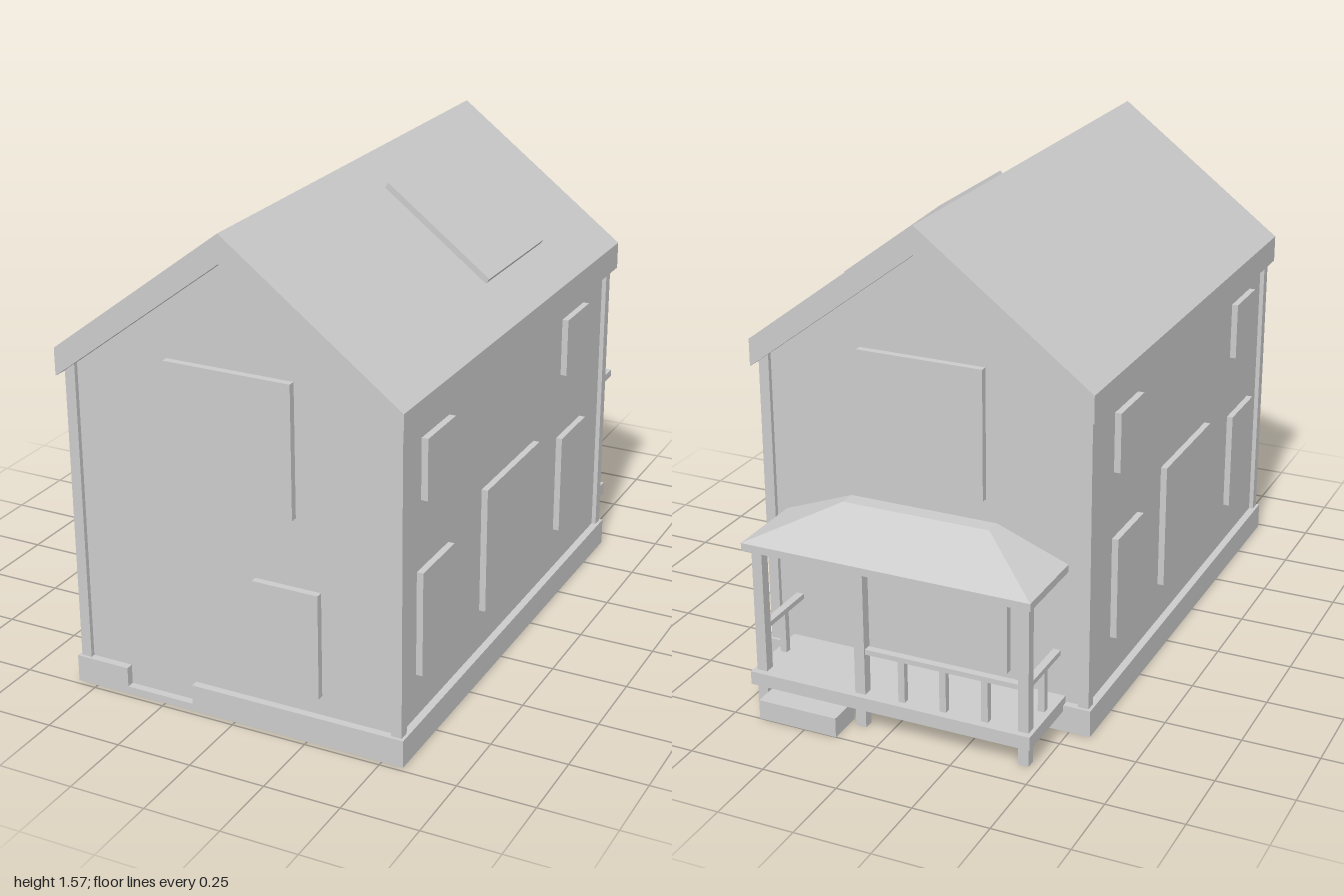
import * as THREE from 'three';

const mat = new THREE.MeshStandardMaterial({ color: 0xcccccc, flatShading: true, side: THREE.DoubleSide });

function add(parent, name, geometry) {
  const mesh = new THREE.Mesh(geometry, mat);
  mesh.name = name;
  parent.add(mesh);
  return mesh;
}

// Box given by its min and max along each axis
function box(parent, name, [x0, x1], [y0, y1], [z0, z1]) {
  const mesh = add(parent, name, new THREE.BoxGeometry(x1 - x0, y1 - y0, z1 - z0));
  mesh.position.set((x0 + x1) / 2, (y0 + y1) / 2, (z0 + z1) / 2);
  return mesh;
}

// Outline in x/y extruded from z0 to z1
function slab(parent, name, points, z0, z1) {
  const shape = new THREE.Shape(points.map(([x, y]) => new THREE.Vector2(x, y)));
  const geo = new THREE.ExtrudeGeometry(shape, { depth: z1 - z0, bevelEnabled: false });
  geo.translate(0, 0, z0);
  return add(parent, name, geo);
}

function buildHouse() {
  const house = new THREE.Group();
  house.name = 'house';
  house.position.z = 0.153;

  // Pitched roof
  slab(house, 'roof', [[-0.575, 1.045], [0, 1.48], [0.575, 1.045], [0.575, 1.135], [0, 1.57], [-0.575, 1.135]], -0.8475, 0.8475);

  // Skylight panel lying on the +x roof slope
  const skylight = add(house, 'skylight', new THREE.BoxGeometry(0.435, 0.04, 0.445));
  skylight.position.set(0.275, 1.362, -0.067 - 0.153);
  skylight.rotation.z = -Math.atan2(0.435, 0.575);

  // Gable ends: the back is the front turned half a turn
  for (const turn of [0, Math.PI]) {
    const end = new THREE.Group();
    end.name = turn ? 'backEnd' : 'frontEnd';
    end.rotation.y = turn;
    house.add(end);
    slab(end, 'gableWall', [[-0.545, 0.02], [0.545, 0.02], [0.545, 1.09], [0, 1.502], [-0.545, 1.09]], 0.785, 0.805);
    // Base board with a notch for the doorway
    slab(end, 'baseBoard', [[-0.57, 0], [0.57, 0], [0.57, 0.09], [-0.15, 0.09], [-0.15, 0.025],
      [-0.385, 0.025], [-0.385, 0.09], [-0.57, 0.09]], 0.795, 0.83);
    box(end, 'upperWindow', [-0.21, 0.21], [0.725, 1.15], [0.8, 0.828]);
    box(end, 'lowerWindow', [0.07, 0.29], [0.155, 0.5], [0.8, 0.828]);
  }

  // Side walls, corner boards and side windows, mirrored; windows as [z0, z1, y0, y1]
  const windows = [
    [0.63, 0.82, 0.795, 0.99], [-0.455, -0.265, 0.795, 0.99],
    [0.625, 0.845, 0.235, 0.575], [-0.46, -0.245, 0.235, 0.575],
    [-0.04, 0.38, 0.225, 0.645],
  ];
  for (const s of [-1, 1]) {
    const span = (a, b) => (s > 0 ? [a, b] : [-b, -a]);
    box(house, 'sideWall', span(0.525, 0.545), [0.02, 1.085], [-0.805, 0.805]);
    box(house, 'sideBaseBoard', span(0.535, 0.57), [0, 0.09], [-0.83, 0.83]);
    for (const [z0, z1, y0, y1] of windows) {
      box(house, 'sideWindow', span(0.54, 0.566), [y0, y1], [z0 - 0.153, z1 - 0.153]);
    }
    box(house, 'cornerBoard', span(0.525, 0.56), [0.05, 1.09], [0.785, 0.82]);
    box(house, 'cornerBoard', span(0.525, 0.56), [0.05, 1.09], [-0.82, -0.785]);
  }
  return house;
}

function buildPorch() {
  const porch = new THREE.Group();
  porch.name = 'porch';
  const wall = -0.66;

  box(porch, 'deck', [-0.48, 0.48], [0.07, 0.115], [-0.93, wall]);
  box(porch, 'step', [0.14, 0.41], [0, 0.065], [-1, -0.88]);
  box(porch, 'porchRoofEdge', [-0.485, 0.485], [0.54, 0.565], [-0.94, wall]);

  // Hipped porch roof: a box with its upper corners pulled in
  const hip = new THREE.BoxGeometry(1, 1, 1);
  const p = hip.attributes.position;
  for (let i = 0; i < p.count; i++) {
    const top = p.getY(i) > 0;
    const outer = p.getZ(i) < 0;
    p.setXYZ(i, Math.sign(p.getX(i)) * (top ? 0.25 : 0.485), top ? 0.655 : 0.565,
      outer ? (top ? -0.715 : -0.94) : wall);
  }
  hip.computeVertexNormals();
  add(porch, 'porchRoof', hip);

  // Posts running to the ground
  for (const x of [-0.45, 0.1, 0.45]) {
    box(porch, 'post', [x - 0.0175, x + 0.0175], [0, 0.545], [-0.91, -0.875]);
  }

  // Railings, leaving the side by the step open
  const baluster = (x, z) => box(porch, 'baluster', [x - 0.011, x + 0.011], [0.11, 0.26], [z - 0.011, z + 0.011]);
  box(porch, 'backRail', [-0.45, 0.1], [0.253, 0.27], [-0.905, -0.88]);
  for (const x of [-0.32, -0.18, -0.04]) baluster(x, -0.893);
  for (const x of [-0.45, 0.45]) {
    box(porch, 'sideRail', [x - 0.0125, x + 0.0125], [0.253, 0.27], [-0.89, wall]);
    baluster(x, -0.767);
  }
  return porch;
}

export function createModel() {
  const model = new THREE.Group();
  model.name = 'houseWithPorch';
  model.add(buildHouse(), buildPorch());
  return model;
}
